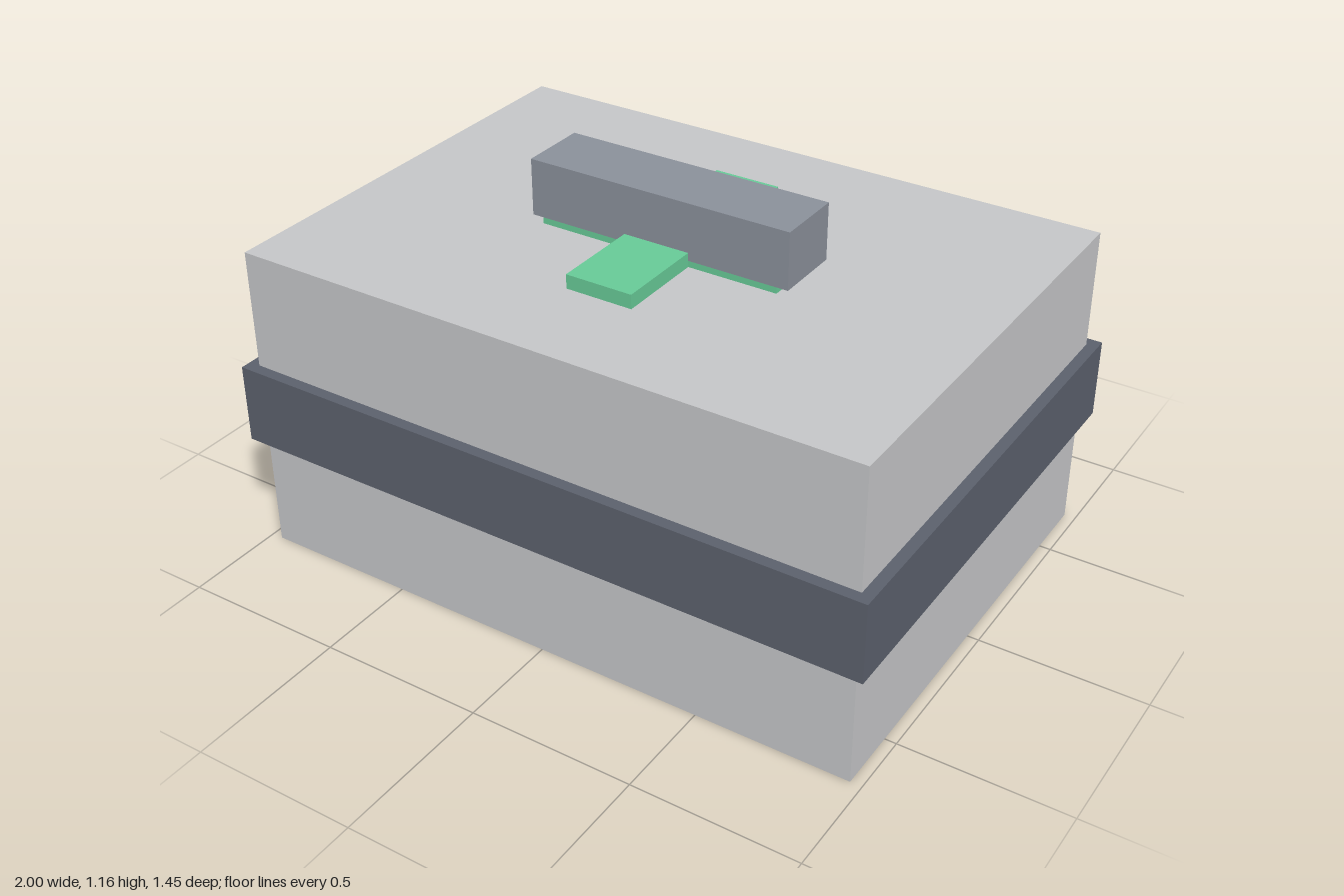
import * as THREE from 'three';

const material = (name, color) => {
  const m = new THREE.MeshStandardMaterial({ color });
  m.name = name;
  return m;
};

export function createModel() {
  const model = new THREE.Group();
  model.name = 'medicalCrate';

  const lightGrey = material('light grey', 0xc6c7c9);
  const darkSlate = material('dark slate', 0x5c616d);
  const steelGrey = material('steel grey', 0x8b919b);
  const green = material('green', 0x68cb98);

  // Box centred on x and z, spanning bottom to top
  const addBox = (name, mat, width, depth, bottom, top) => {
    const mesh = new THREE.Mesh(new THREE.BoxGeometry(width, top - bottom, depth), mat);
    mesh.position.y = (bottom + top) / 2;
    mesh.name = name;
    model.add(mesh);
  };

  // Case and the band around its middle
  addBox('caseBody', lightGrey, 1.931, 1.379, 0, 0.966);
  addBox('band', darkSlate, 2, 1.448, 0.362, 0.604);

  // Cross on the lid
  addBox('crossLongArm', green, 0.207, 0.759, 0.96, 1.009);
  addBox('crossSideArm', green, 0.759, 0.207, 0.96, 1.009);

  // Carrying handle over the cross
  addBox('handle', steelGrey, 0.828, 0.208, 0.985, 1.157);

  return model;
}
